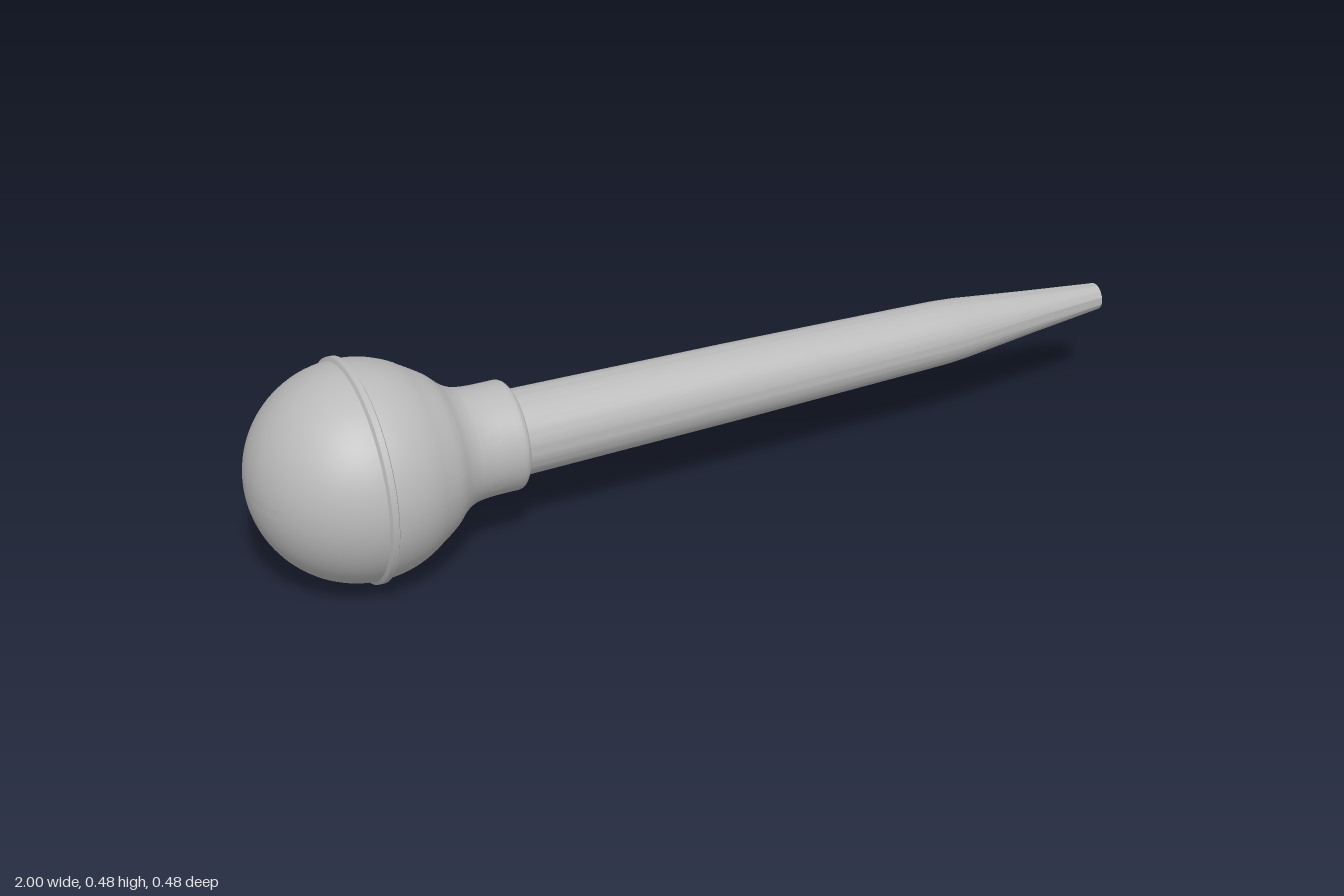
import * as THREE from 'three';
import { toCreasedNormals } from 'three/addons/utils/BufferGeometryUtils.js';

const R = 0.232;        // bulb radius
const TILT = 0.108;     // yaw of the whole tool

export function createModel() {
  const grey = new THREE.MeshStandardMaterial({ color: 0xbababa, side: THREE.DoubleSide });
  grey.name = 'grey';

  const root = new THREE.Group();
  root.name = 'baster';

  // Everything is turned about one axis, pointing along +x from the bulb centre
  const axis = new THREE.Group();
  axis.name = 'basterAxis';
  axis.position.set(-1 + R, 0.24, 0);
  axis.rotation.y = TILT;
  root.add(axis);

  // Profile points are [radius, distance along the axis]
  const turn = (name, points, crease = 0.6) => {
    const profile = points.map(([r, s]) => new THREE.Vector2(r, s));
    const mesh = new THREE.Mesh(toCreasedNormals(new THREE.LatheGeometry(profile, 72), crease), grey);
    mesh.name = name;
    mesh.rotation.z = -Math.PI / 2;
    axis.add(mesh);
  };

  // Squeeze bulb: round back, flowing through a concave neck into the collar
  const bulb = [];
  for (let i = 0; i <= 36; i++) {
    const a = -Math.PI / 2 + (Math.PI / 2 + 0.52) * i / 36;
    bulb.push([Math.max(0, R * Math.cos(a)), R * Math.sin(a)]);
  }
  const neck = new THREE.SplineCurve([
    [0.201, 0.115], [0.168, 0.168], [0.141, 0.198], [0.125, 0.226],
    [0.119, 0.26], [0.118, 0.3], [0.118, 0.328],
  ].map(p => new THREE.Vector2(...p)));
  neck.getPoints(28).slice(1).forEach(p => bulb.push([p.x, p.y]));
  // Rounded lip, then the inside of the collar
  for (let i = 1; i <= 8; i++) {
    const a = Math.PI * i / 8;
    bulb.push([0.106 + 0.012 * Math.cos(a), 0.328 + 0.014 * Math.sin(a)]);
  }
  bulb.push([0.094, 0.25]);
  turn('bulb', bulb);

  // Moulding seam around the bulb
  turn('bulbSeam', [[0.229, -0.018], [0.239, -0.012], [0.239, 0.001], [0.229, 0.006]]);

  // Hollow tube, straight taper then a narrower nozzle
  turn('tube', [
    [0.093, 0.25], [0.0925, 0.345], [0.084, 0.85], [0.0735, 1.3],
    [0.0715, 1.37], [0.068, 1.42], [0.048, 1.6], [0.03, 1.775],
    [0.025, 1.775], [0.043, 1.6], [0.063, 1.42], [0.0665, 1.37],
    [0.079, 0.85], [0.087, 0.25], [0.093, 0.25],
  ]);

  return root;
}
